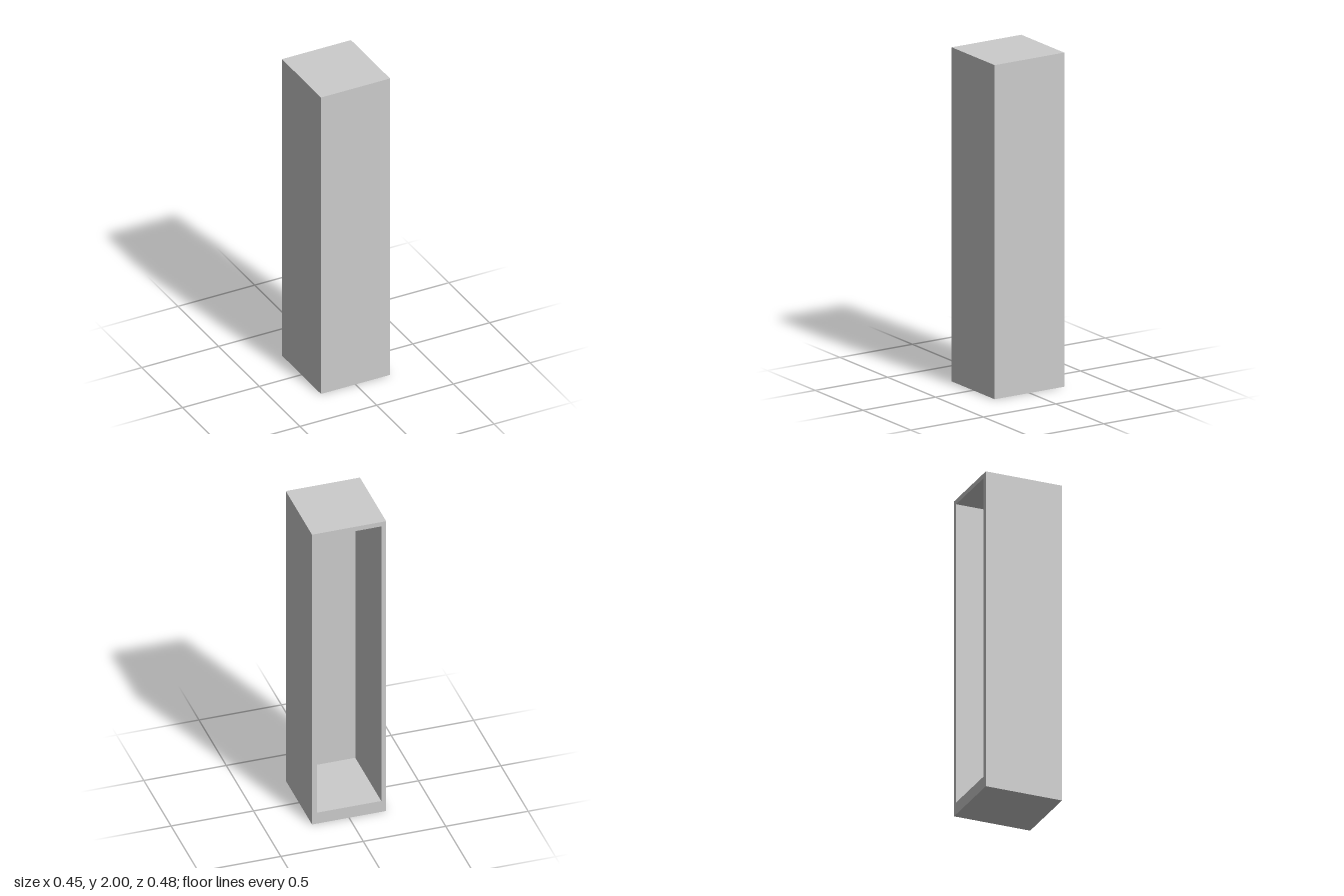
import * as THREE from 'three';

const W = 0.45, H = 2, D = 0.48;            // outer size
const SIDE = 0.03, TOP = 0.03, BASE = 0.075; // frame thicknesses
const PANEL = 0.005;                         // thin front panel

// Traces a rectangle onto a Shape or Path
function rect(path, x0, y0, x1, y1) {
  path.moveTo(x0, y0);
  path.lineTo(x1, y0);
  path.lineTo(x1, y1);
  path.lineTo(x0, y1);
  path.closePath();
  return path;
}

export function createModel() {
  const group = new THREE.Group();
  group.name = 'openBackCabinet';
  const material = new THREE.MeshStandardMaterial({ color: 0xcccccc });

  // Side walls, top and thick base as one frame, open at the back
  const outline = rect(new THREE.Shape(), -W / 2, 0, W / 2, H);
  outline.holes.push(rect(new THREE.Path(), -W / 2 + SIDE, BASE, W / 2 - SIDE, H - TOP));
  const frame = new THREE.Mesh(
    new THREE.ExtrudeGeometry(outline, { depth: D - PANEL, bevelEnabled: false }),
    material
  );
  frame.name = 'cabinetFrame';
  frame.position.z = -D / 2;
  group.add(frame);

  // Thin panel closing the front
  const panel = new THREE.Mesh(new THREE.BoxGeometry(W, H, PANEL), material);
  panel.name = 'frontPanel';
  panel.position.set(0, H / 2, D / 2 - PANEL / 2);
  group.add(panel);

  return group;
}
